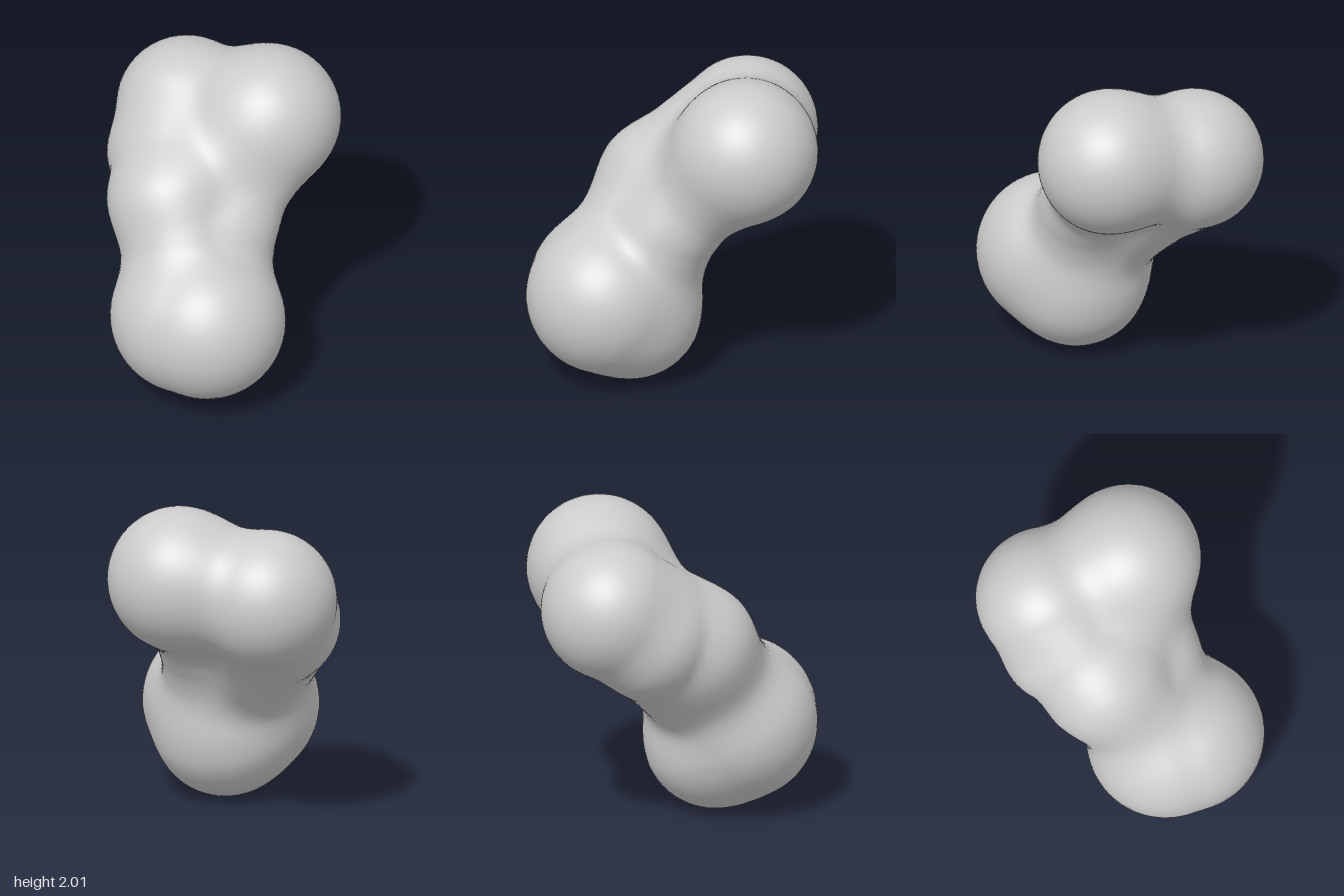
import * as THREE from 'three';

const V = (x, y, z) => new THREE.Vector3(x, y, z);

// Lobe centres
const base = V(0.185, 0.55, 0.38);
const baseRight = V(0.12, 0.55, 0.41);
const baseLeft = V(0.25, 0.555, 0.425);
const heel = V(0.175, 0.44, 0.27);
const topLeft = V(0.25, 1.555, -0.445);
const topRight = V(-0.31, 1.46, -0.44);
const flank = V(-0.3, 1.27, -0.2);
const chest = V(-0.15, 1.14, 0.08);
const neck = V(0.21, 0.98, 0.04);

// Rounded limbs: from, to, start radius, end radius, blend width
const limbs = [
  [baseRight, baseLeft, 0.49, 0.488, 0],
  [heel, heel, 0.438, 0.438, 0.06],
  [chest, base, 0.395, 0.4, 0.1],
  [topRight, base, 0.32, 0.3, 0.1],
  [topRight, chest, 0.435, 0.385, 0.08],
  [topRight, flank, 0.43, 0.39, 0.02],
  [flank, base, 0.375, 0.29, 0.06],
  [neck, heel, 0.27, 0.39, 0.12],
  [topLeft, neck, 0.33, 0.27, 0.12],
  [topLeft, chest, 0.32, 0.32, 0.12],
  [topLeft, topRight, 0.36, 0.36, 0.08],
  [topLeft, topLeft, 0.427, 0.427, 0.18],
];

function limbDistance(p, [a, b, ra, rb]) {
  const dx = b.x - a.x, dy = b.y - a.y, dz = b.z - a.z;
  const px = p.x - a.x, py = p.y - a.y, pz = p.z - a.z;
  const len2 = dx * dx + dy * dy + dz * dz;
  const t = len2 ? THREE.MathUtils.clamp((px * dx + py * dy + pz * dz) / len2, 0, 1) : 0;
  return Math.hypot(px - t * dx, py - t * dy, pz - t * dz) - (ra + (rb - ra) * t);
}

// Smoothly blended distance to the whole body
function field(p) {
  let d = Infinity;
  for (const limb of limbs) {
    const e = limbDistance(p, limb), k = limb[4];
    const h = k ? Math.max(k - Math.abs(d - e), 0) : 0;
    d = Math.min(d, e) - (k ? (h * h) / (4 * k) : 0);
  }
  return d;
}

function gradient(p) {
  const e = 0.02;
  const slope = (x, y, z) => field(V(p.x + x, p.y + y, p.z + z)) - field(V(p.x - x, p.y - y, p.z - z));
  return V(slope(e, 0, 0), slope(0, e, 0), slope(0, 0, e)).normalize();
}

// Skin the field: one vertex per crossed grid cell, one quad per crossed grid edge
function skin(step) {
  const min = V(-1, -0.15, -1.1), n = 58;
  const id = (i, j, k) => i + n * (j + n * k);
  const corner = (i, j, k) => V(min.x + i * step, min.y + j * step, min.z + k * step);
  const values = new Float32Array(n * n * n);
  for (let k = 0; k < n; k++)
    for (let j = 0; j < n; j++)
      for (let i = 0; i < n; i++) values[id(i, j, k)] = field(corner(i, j, k));

  const positions = [], normals = [], indices = [];
  const cells = new Map();
  for (let k = 0; k < n - 1; k++)
    for (let j = 0; j < n - 1; j++)
      for (let i = 0; i < n - 1; i++) {
        let inside = 0;
        for (let c = 0; c < 8; c++)
          if (values[id(i + (c & 1), j + ((c >> 1) & 1), k + (c >> 2))] < 0) inside++;
        if (inside === 0 || inside === 8) continue;
        // Pull the cell centre onto the surface
        const p = corner(i + 0.5, j + 0.5, k + 0.5);
        for (let s = 0; s < 3; s++) p.addScaledVector(gradient(p), -field(p));
        cells.set(id(i, j, k), positions.length / 3);
        positions.push(p.x, p.y, p.z);
        normals.push(...gradient(p).toArray());
      }

  const axes = [[1, 0, 0], [0, 1, 0], [0, 0, 1]];
  for (let k = 1; k < n - 1; k++)
    for (let j = 1; j < n - 1; j++)
      for (let i = 1; i < n - 1; i++)
        for (let a = 0; a < 3; a++) {
          const here = id(i, j, k);
          const startsInside = values[here] < 0;
          const endsInside = values[here + id(...axes[a])] < 0;
          if (startsInside === endsInside) continue;
          const u = id(...axes[(a + 1) % 3]), v = id(...axes[(a + 2) % 3]);
          const quad = [here - u - v, here - v, here, here - u].map((c) => cells.get(c));
          if (!startsInside) quad.reverse();
          indices.push(quad[0], quad[1], quad[2], quad[0], quad[2], quad[3]);
        }

  const geometry = new THREE.BufferGeometry();
  geometry.setAttribute('position', new THREE.Float32BufferAttribute(positions, 3));
  geometry.setAttribute('normal', new THREE.Float32BufferAttribute(normals, 3));
  geometry.setIndex(indices);
  return geometry;
}

export function createModel() {
  const group = new THREE.Group();
  const body = new THREE.Mesh(skin(0.04), new THREE.MeshStandardMaterial({ color: 0xcccccc }));
  body.name = 'lobedBody';
  group.add(body);
  return group;
}
